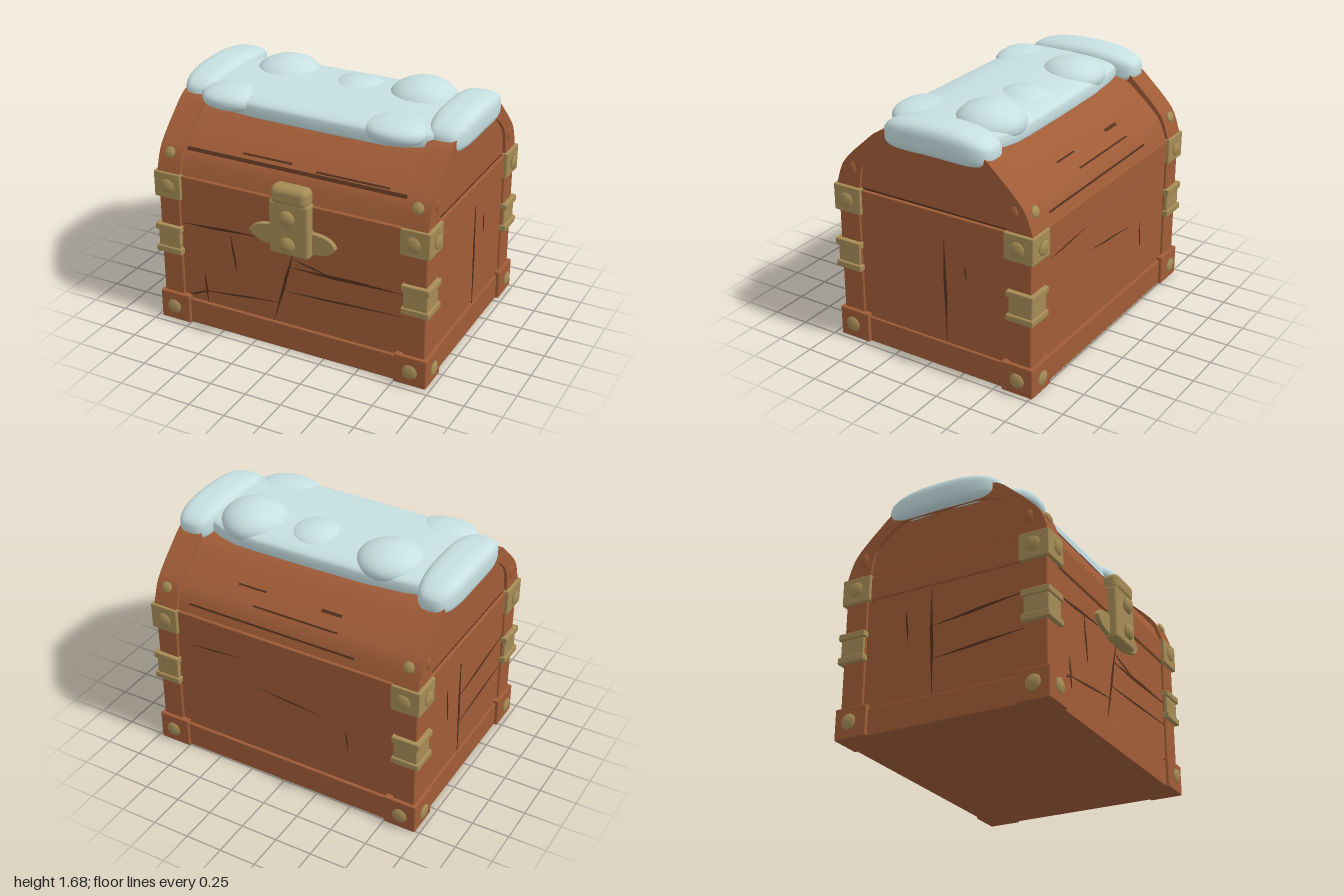
import * as THREE from 'three';
import { mergeVertices, toCreasedNormals } from 'three/addons/utils/BufferGeometryUtils.js';
import { RoundedBoxGeometry } from 'three/addons/geometries/RoundedBoxGeometry.js';

const ZC = -0.03; // middle of the chest along z

function material(name, color) {
  const m = new THREE.MeshStandardMaterial({ color });
  m.name = name;
  return m;
}

// Symmetric arch curve from half a profile of [offset, height] points
function archCurve(half) {
  const back = half.slice(0, -1).reverse().map(([u, y]) => [-u, y]);
  return new THREE.SplineCurve([...half, ...back].map(([u, y]) => new THREE.Vector2(u, y)));
}

export function createModel() {
  const wood = material('wood', 0xa05c37);
  const darkWood = material('dark wood', 0x54301d);
  const brass = material('brass', 0xa68c56);
  const snow = material('snow', 0xc6dfe1);
  const model = new THREE.Group();
  model.name = 'snowyChest';

  const add = (name, geo, mat, x = 0, y = 0, z = 0, parent = model) => {
    const m = new THREE.Mesh(geo, mat);
    m.name = name;
    m.position.set(x, y, z);
    parent.add(m);
    return m;
  };
  const block = (name, mat, x, y0, y1, z, w, d, r = 0.008) =>
    add(name, new RoundedBoxGeometry(w, y1 - y0, d, 1, r), mat, x, (y0 + y1) / 2, z);

  // Body
  block('bodyPanels', wood, 0, 0.05, 1.0, ZC, 1.87, 1.39);
  block('baseBand', wood, 0, 0, 0.18, ZC, 1.9, 1.43);
  block('rimBand', wood, 0, 0.915, 1.08, ZC, 1.9, 1.425);
  block('lidSeam', darkWood, 0, 1.06, 1.1, ZC, 1.86, 1.38);

  // Rivets
  const rivetGeo = new THREE.LatheGeometry([
    [0.036, -0.01], [0.036, 0.008], [0.052, 0.013], [0.047, 0.026], [0.028, 0.038], [0, 0.043],
  ].map(([r, y]) => new THREE.Vector2(r, y)), 14);
  const up = new THREE.Vector3(0, 1, 0);
  const rivet = (x, y, z, normal, size = 1, height = 0.6) => {
    const m = add('rivet', rivetGeo, brass, x, y, z);
    m.quaternion.setFromUnitVectors(up, new THREE.Vector3(...normal).normalize());
    m.scale.set(size, height, size);
  };

  // Corner posts, feet and brass fittings
  for (const sx of [-1, 1]) {
    for (const sz of [-1, 1]) {
      const at = (name, mat, y0, y1, x0, x1, z0, z1) =>
        block(name, mat, sx * (x0 + x1) / 2, y0, y1, ZC + sz * (z0 + z1) / 2, x1 - x0, z1 - z0);
      at('cornerPost', wood, 0.15, 0.95, 0.8, 0.95, 0.555, 0.712);
      at('cornerFoot', wood, 0, 0.205, 0.75, 0.972, 0.51, 0.735);
      at('cornerBracket', brass, 0.91, 1.09, 0.775, 0.972, 0.53, 0.735);
      at('strap', brass, 0.53, 0.69, 0.8, 0.965, 0.56, 0.728);
      at('strapTopRidge', brass, 0.665, 0.71, 0.79, 0.98, 0.548, 0.74);
      at('strapBottomRidge', brass, 0.505, 0.55, 0.79, 0.98, 0.548, 0.74);
      for (const y of [0.105, 1.0]) {
        rivet(sx * 0.865, y, ZC + sz * 0.735, [0, 0, sz]);
        rivet(sx * 0.972, y, ZC + sz * 0.63, [sx, 0, 0]);
      }
      rivet(sx * 0.867, 1.215, ZC + sz * 0.676, [0, 0.4, sz], 0.75);
      // wooden peg on the lid's end
      const peg = add('endPeg', new THREE.SphereGeometry(1, 10, 8), wood, sx * 0.95, 1.215, ZC + sz * 0.592);
      peg.scale.set(0.012, 0.045, 0.028);
    }
  }

  // Lid
  const outer = [[0.72, 1.09], [0.675, 1.22], [0.61, 1.305], [0.5, 1.41], [0.37, 1.515], [0.2, 1.55], [0, 1.56]];
  const inner = [[0.545, 1.09], [0.52, 1.24], [0.44, 1.34], [0.32, 1.42], [0.15, 1.43], [0, 1.43]];
  const middle = outer.map(([u, y]) => [u * 0.972, 1.085 + (y - 1.09) * 0.9]);
  const outerPts = archCurve(outer).getPoints(36);
  const innerPts = archCurve(inner).getPoints(30);
  const lidCurve = archCurve(middle);
  const along = (name, pts, x, width) => {
    const geo = new THREE.ExtrudeGeometry(new THREE.Shape(pts), { depth: width, bevelEnabled: false });
    geo.translate(0, 0, -width / 2).rotateY(Math.PI / 2);
    return add(name, toCreasedNormals(geo, 0.5), wood, x, 0, ZC);
  };
  along('lid', lidCurve.getPoints(28), 0, 1.6);
  for (const s of [-1, 1]) {
    along('lidEnd', outerPts, s * 0.855, 0.15);
    along('lidEndTrim', [...outerPts, ...innerPts.slice().reverse()], s * 0.938, 0.024);
  }

  // Splits between the lid boards: [curve position, x, length, width]
  for (const [t, x, len, w] of [
    [0.1, 0, 1.54, 0.024], [0.125, -0.2, 0.35, 0.012], [0.115, 0.4, 0.5, 0.012],
    [0.9, -0.05, 0.6, 0.012], [0.84, -0.27, 0.14, 0.02], [0.84, 0.3, 0.2, 0.012], [0.965, 0.1, 1.2, 0.012],
  ]) {
    const p = lidCurve.getPointAt(t), d = lidCurve.getTangentAt(t);
    const m = add('lidSplit', new THREE.BoxGeometry(len, 0.008, w), darkWood, x, p.y, ZC + p.x);
    m.rotation.x = Math.atan2(-d.y, d.x);
  }

  // Tapered cracks on each wall: [u0, v0, u1, v1, width], u runs to the viewer's right
  const cracks = (name, turn, x, z, list) => {
    const wall = new THREE.Group();
    wall.name = name;
    wall.position.set(x, 0, z);
    wall.rotation.y = turn;
    model.add(wall);
    for (const [u0, v0, u1, v1, w] of list) {
      const a = new THREE.Vector2(u0, v0), b = new THREE.Vector2(u1, v1);
      const d = b.clone().sub(a), n = new THREE.Vector2(-d.y, d.x).normalize().multiplyScalar(w / 2);
      const shape = new THREE.Shape([
        a, a.clone().addScaledVector(d, 0.4).sub(n), b, a.clone().addScaledVector(d, 0.55).add(n),
      ]);
      add('crack', new THREE.ExtrudeGeometry(shape, { depth: 0.006, bevelEnabled: false }), darkWood, 0, 0, 0, wall);
    }
  };
  cracks('frontCracks', 0, 0, 0.663, [
    [-0.8, 0.735, -0.2, 0.77, 0.02], [0.04, 0.75, -0.12, 0.18, 0.022], [-0.02, 0.605, 0.82, 0.62, 0.026],
    [-0.08, 0.42, 0.82, 0.46, 0.014], [-0.43, 0.74, -0.39, 0.45, 0.016], [-0.64, 0.4, -0.62, 0.18, 0.016],
    [-0.68, 0.26, -0.05, 0.33, 0.014], [-0.8, 0.19, -0.58, 0.28, 0.014], [0.02, 0.67, 0.3, 0.61, 0.012],
  ]);
  cracks('rightCracks', Math.PI / 2, 0.933, 0, [
    [0.11, 0.915, 0.12, 0.18, 0.022], [0.26, 0.78, 0.27, 0.65, 0.01],
  ]);
  cracks('leftCracks', -Math.PI / 2, -0.933, 0, [
    [-0.12, 0.915, -0.1, 0.18, 0.022], [-0.1, 0.64, 0.53, 0.72, 0.02],
    [-0.1, 0.42, 0.53, 0.48, 0.016], [-0.3, 0.8, -0.28, 0.55, 0.014],
  ]);
  cracks('backCracks', Math.PI, 0, -0.723, [
    [-0.2, 0.68, 0.3, 0.63, 0.012], [-0.7, 0.84, -0.3, 0.87, 0.01], [0.45, 0.6, 0.47, 0.42, 0.01],
  ]);

  // Latch
  const LX = 0.038;
  block('latchPlate', brass, LX, 0.73, 1.1, 0.69, 0.28, 0.11, 0.02);
  add('latchCap', new RoundedBoxGeometry(0.262, 0.13, 0.12, 3, 0.045), brass, LX, 1.135, 0.693);
  const wing = new THREE.Shape();
  wing.moveTo(-0.31, 0);
  wing.bezierCurveTo(-0.27, -0.06, -0.2, -0.07, -0.1, -0.07);
  wing.lineTo(0.1, -0.07);
  wing.bezierCurveTo(0.2, -0.07, 0.27, -0.06, 0.295, 0);
  wing.bezierCurveTo(0.27, 0.06, 0.2, 0.07, 0.1, 0.07);
  wing.lineTo(-0.1, 0.07);
  wing.bezierCurveTo(-0.2, 0.07, -0.27, 0.06, -0.31, 0);
  add('latchWings', new THREE.ExtrudeGeometry(wing, {
    depth: 0.025, bevelSize: 0.006, bevelThickness: 0.008, bevelSegments: 1, curveSegments: 8,
  }), brass, LX, 0.825, 0.66);
  for (const y of [0.815, 1.0]) rivet(LX, y, 0.745, [0, 0, 1], 1.08, 1);

  // Snow: soft squared blobs; power 1 is an ellipsoid, smaller is boxier
  const blob = (name, x, y, z, rx, ry, rz, power = 1, sag = 0) => {
    const geo = new THREE.SphereGeometry(1, 36, 22);
    geo.deleteAttribute('normal');
    geo.deleteAttribute('uv');
    const p = geo.attributes.position;
    const soft = (c) => Math.sign(c) * Math.abs(c) ** power;
    for (let i = 0; i < p.count; i++) {
      const px = rx * soft(p.getX(i)), pz = rz * soft(p.getZ(i));
      const wobble = 1 + 0.03 * Math.sin(9 * (x + px)) * Math.cos(7 * (z + pz));
      p.setXYZ(i, px, ry * soft(p.getY(i)) - sag * pz * pz, pz * wobble);
    }
    const merged = mergeVertices(geo, 1e-4);
    merged.computeVertexNormals();
    add(name, merged, snow, x, y, z);
  };
  blob('snowSheet', 0, 1.525, 0.01, 0.9, 0.075, 0.41, 0.45, 0.15);
  for (const s of [-1, 1]) blob('snowEndRoll', s * 0.86, 1.535, -0.06, 0.138, 0.108, 0.4, 0.62, 0.2);
  blob('snowMound', 0.52, 1.55, -0.18, 0.225, 0.132, 0.225);
  blob('snowMound', -0.46, 1.55, -0.19, 0.215, 0.112, 0.215);
  blob('snowMound', 0.08, 1.55, -0.15, 0.18, 0.075, 0.18);
  blob('snowLobe', -0.6, 1.525, 0.29, 0.2, 0.075, 0.175, 0.85);
  blob('snowLobe', 0.56, 1.525, 0.28, 0.22, 0.075, 0.18, 0.85);

  return model;
}
